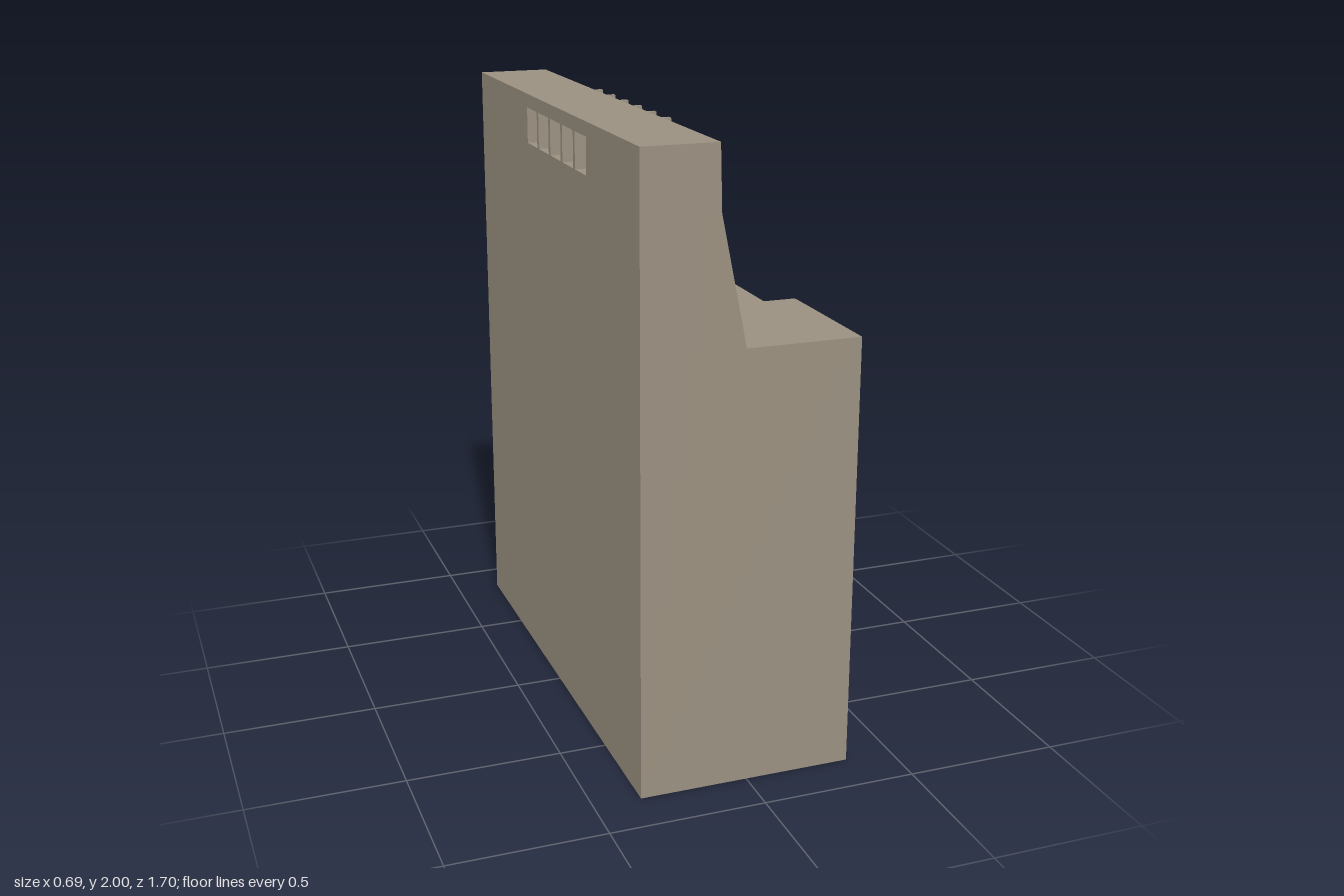
import * as THREE from 'three';

export function createModel() {
  const group = new THREE.Group();
  const concrete = new THREE.MeshStandardMaterial({ color: 0x9a9080 });
  concrete.name = 'concrete';

  const BACK = -0.348, FRONT = 0.345, SKIN = 0.315, END = 0.848;
  const Z0 = -0.261, Z1 = 0.371; // recess between the outer fins
  const FIN = 0.018;

  const toShape = (pts) => new THREE.Shape(pts.map(([a, b]) => new THREE.Vector2(a, b)));
  const add = (name, geometry) => {
    const mesh = new THREE.Mesh(geometry, concrete);
    mesh.name = name;
    group.add(mesh);
  };
  // Extrude an (x, y) profile from z0 to z1
  const alongZ = (name, pts, z0, z1) => {
    const g = new THREE.ExtrudeGeometry(toShape(pts), { depth: z1 - z0, bevelEnabled: false });
    g.translate(0, 0, z0);
    add(name, g);
  };

  // Inclined rear wall, from ledge to top
  const wall = [[-0.022, 1.4], [-0.104, 1.8], [-0.11, 2]];

  // Body sections behind the face panel
  alongZ('leftBody', [[BACK, 0], [SKIN, 0], [SKIN, 1.4], ...wall, [BACK, 2]], Z1, END);
  alongZ('rightBody', [[BACK, 0], [SKIN, 0], [SKIN, 1.445], [-0.022, 1.445], ...wall, [BACK, 2]], -END, Z0);
  alongZ('recessBody', [[BACK, 0], [SKIN, 0], [SKIN, 1.33], [-0.022, 1.33], wall[0], wall[1],
    [-0.1045, 1.82], [-0.14, 1.838], [BACK, 1.838]], Z0, Z1);

  // Lintel over the row of windows
  alongZ('lintel', [[BACK, 1.955], [-0.14, 1.955], [-0.1095, 1.98], [-0.11, 2], [BACK, 2]], Z0, Z1);

  // Face panel with stepped top edge and vent slots; u is -z
  const panel = toShape([[-END, 0], [END, 0], [END, 1.445], [-Z0, 1.445], [-Z0, 1.33],
    [-Z1, 1.33], [-Z1, 1.4], [-END, 1.4]]);
  for (let i = 0; i < 7; i++) {
    const u = 0.342 + i * 0.036;
    panel.holes.push(new THREE.Path([[u, 1.31], [u, 1.388], [u + 0.022, 1.388], [u + 0.022, 1.31]]
      .map(([a, b]) => new THREE.Vector2(a, b))));
  }
  const face = new THREE.ExtrudeGeometry(panel, { depth: FRONT - SKIN, bevelEnabled: false });
  face.rotateY(Math.PI / 2);
  face.translate(SKIN, 0, 0);
  add('facePanel', face);

  // Six fins standing on the sloped wall, with dividers between the windows
  for (let i = 0; i < 6; i++) {
    const z = 0.38 - i * 0.13;
    alongZ('fin', [[-0.022, 1.33], [0.079, 1.33], [0.079, 1.4], [-0.076, 1.8], [-0.085, 2],
      [-0.11, 2], [-0.104, 1.8], [-0.022, 1.4]], z - FIN / 2, z + FIN / 2);
    if (i > 0 && i < 5) {
      alongZ('windowDivider', [[BACK, 1.838], [-0.14, 1.838], [-0.1045, 1.82], [-0.1095, 1.98],
        [-0.14, 1.955], [BACK, 1.955]], z - FIN / 2, z + FIN / 2);
    }
  }
  return group;
}
